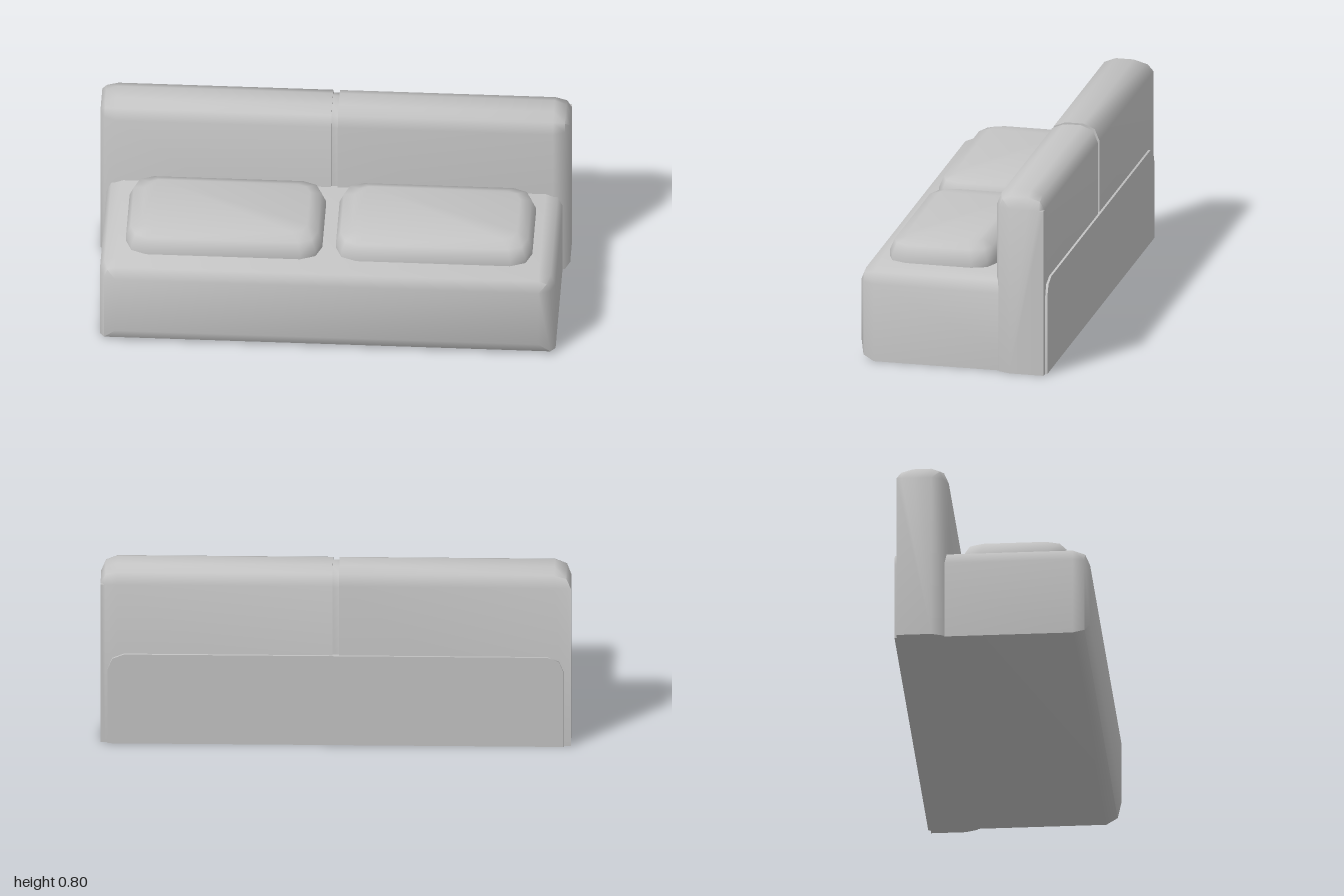
import * as THREE from 'three';
import { toCreasedNormals } from 'three/addons/utils/BufferGeometryUtils.js';

const BEVEL = 0.07;
// Two-step rounding: [distance from the end, inset of the section]
const STEPS = [[0.07, 0], [0.02, 0.02], [0, 0.07]];

// Counter-clockwise rectangle with two-segment rounded corners;
// radii are [ru, rv] pairs for: low-low, high-low, high-high, low-high
function ring(u0, u1, v0, v1, radii) {
  const corners = [[u0, v0, 1, 1], [u1, v0, -1, 1], [u1, v1, -1, -1], [u0, v1, 1, -1]];
  const points = [];
  corners.forEach(([u, v, su, sv], i) => {
    const [ru, rv] = radii[i];
    const arc = [[0, 1], [0.29, 0.29], [1, 0]];
    if (i % 2) arc.reverse();
    for (const [a, b] of arc) points.push([u + su * ru * a, v + sv * rv * b]);
  });
  return points;
}

// Skin closed sections ({ w, points }, w rising) and cap both ends
function loft(sections, toXYZ) {
  const rings = sections.map(({ w, points }) =>
    points.map(([u, v]) => new THREE.Vector3(...toXYZ(u, v, w))));
  const out = [];
  const tri = (a, b, c) => {
    const area = b.clone().sub(a).cross(c.clone().sub(a)).length();
    if (area > 1e-7) for (const p of [a, b, c]) out.push(p.x, p.y, p.z);
  };
  const n = rings[0].length;
  const last = rings[rings.length - 1];
  for (let i = 0; i < rings.length - 1; i++) {
    for (let j = 0; j < n; j++) {
      const k = (j + 1) % n;
      tri(rings[i][j], rings[i][k], rings[i + 1][k]);
      tri(rings[i][j], rings[i + 1][k], rings[i + 1][j]);
    }
  }
  for (let j = 1; j < n - 1; j++) {
    tri(last[0], last[j], last[j + 1]);
    tri(rings[0][0], rings[0][j + 1], rings[0][j]);
  }
  const geometry = new THREE.BufferGeometry();
  geometry.setAttribute('position', new THREE.Float32BufferAttribute(out, 3));
  return toCreasedNormals(geometry, 0.95);
}

// Seat block: rounded top sides, front face rounded all around, flat back
function seatBase() {
  const section = (w, d) => {
    const r = [BEVEL - d, BEVEL - d];
    return { w, points: ring(-0.97 + d, 0.97 - d, d, 0.414 - d, [[0, 0], [0, 0], r, r]) };
  };
  const sections = [section(-0.414, 0), ...STEPS.map(([e, d]) => section(0.415 - e, d))];
  return loft(sections, (u, v, w) => [u, v, w]);
}

// Backrest section seen from the side, u = -z; d insets only front and top
function backSection(w, d) {
  return {
    w,
    points: ring(0.185 + d, 0.404, 0, 0.804 - d,
      [[0, 0], [0, 0], [BEVEL, BEVEL - d], [BEVEL - d, BEVEL - d]]),
  };
}
const backToXYZ = (u, v, w) => [w, v, -u];

function backrest(side) {
  const sections = [backSection(side * 0.014, 0),
    ...STEPS.map(([e, d]) => backSection(side * (1 - e), d))];
  if (side < 0) sections.reverse();
  return loft(sections, backToXYZ);
}

// Recessed strip between the two backrest halves
function backSeam() {
  const r = [BEVEL, BEVEL];
  const points = ring(0.193, 0.396, 0, 0.796, [[0, 0], [0, 0], r, r]);
  return loft([{ w: -0.016, points }, { w: 0.016, points }], backToXYZ);
}

// Seat cushion: rounded plan, rounded top rim; u = z, v = x
function cushion() {
  const section = (w, d) => {
    const r = 0.09 - d * 0.5;
    return { w, points: ring(-0.145 + d, 0.322 - d, -0.418 + d, 0.418 - d, Array(4).fill([r, r])) };
  };
  return loft([section(0.4, 0), section(0.439, 0), section(0.487, 0.019), section(0.507, 0.066)],
    (u, v, w) => [v, w, u]);
}

export function createModel() {
  const group = new THREE.Group();
  group.name = 'sofa';
  const fabric = new THREE.MeshStandardMaterial({ color: 0xc4c4c4 });
  fabric.name = 'greyFabric';

  const add = (name, geometry, x = 0) => {
    const mesh = new THREE.Mesh(geometry, fabric);
    mesh.name = name;
    mesh.position.x = x;
    group.add(mesh);
  };

  add('seatBase', seatBase());
  add('backrestSeam', backSeam());
  for (const [side, label] of [[1, 'left'], [-1, 'right']]) {
    add(label + 'Backrest', backrest(side));
    add(label + 'Cushion', cushion(), side * 0.447);
  }
  return group;
}
